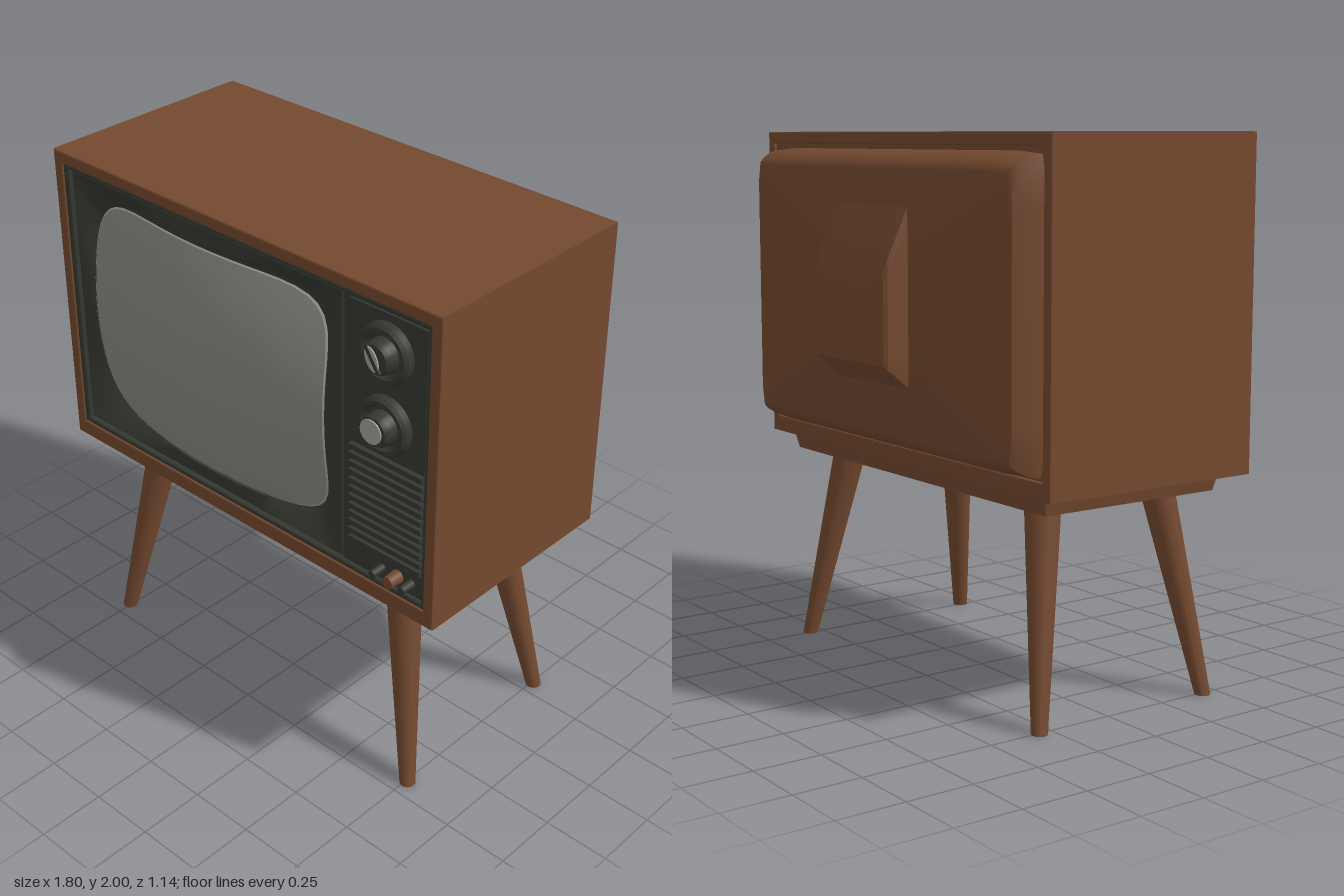
import * as THREE from 'three';
import { toCreasedNormals } from 'three/addons/utils/BufferGeometryUtils.js';

const paint = (name, color) => Object.assign(new THREE.MeshStandardMaterial({ color }), { name });

// Loop of a square bent towards a superellipse of power n (Infinity keeps it square)
function loop(n, side = 16) {
  const pts = [];
  const corners = [[1, -1], [1, 1], [-1, 1], [-1, -1]];
  for (let c = 0; c < 4; c++) {
    const [ax, ay] = corners[c], [bx, by] = corners[(c + 1) % 4];
    for (let i = 0; i < side; i++) {
      const t = i / side, x = ax + (bx - ax) * t, y = ay + (by - ay) * t;
      const k = n === Infinity ? 1 : Math.pow(Math.abs(x) ** n + Math.abs(y) ** n, -1 / n);
      pts.push([x * k, y * k]);
    }
  }
  return pts;
}

// Skin over rings of equal point count, listed from the outside in; optional cap on the last
function skin(rings, { back = false, cap = false, crease = 0.6 } = {}) {
  const n = rings[0].length, pos = rings.flat(2), idx = [];
  const tri = (a, b, c) => (back ? idx.push(a, c, b) : idx.push(a, b, c));
  for (let r = 0; r < rings.length - 1; r++) {
    for (let i = 0; i < n; i++) {
      const j = (i + 1) % n, a = r * n + i, b = r * n + j;
      tri(a, b, b + n);
      tri(a, b + n, a + n);
    }
  }
  if (cap) {
    const last = rings[rings.length - 1], base = (rings.length - 1) * n;
    const mid = [0, 1, 2].map(k => last.reduce((s, p) => s + p[k], 0) / n);
    pos.push(...mid);
    for (let i = 0; i < n; i++) tri(base + i, base + (i + 1) % n, rings.length * n);
  }
  const g = new THREE.BufferGeometry();
  g.setAttribute('position', new THREE.Float32BufferAttribute(pos, 3));
  g.setIndex(idx);
  return toCreasedNormals(g, crease);
}

const rect = (Path, x0, x1, y0, y1) => new Path([[x0, y0], [x1, y0], [x1, y1], [x0, y1]]
  .map(p => new THREE.Vector2(...p)));

// Rectangular frame extruded from z0 to z1
function frame(o, i, z0, z1, bevel) {
  const s = rect(THREE.Shape, ...o);
  s.holes.push(rect(THREE.Path, ...i));
  const g = new THREE.ExtrudeGeometry(s, {
    depth: z1 - z0 - 2 * bevel, bevelSize: bevel, bevelThickness: bevel, bevelOffset: -bevel, bevelSegments: 2,
  });
  return g.translate(0, 0, z0 + bevel);
}

export function createModel() {
  const model = new THREE.Group();
  model.name = 'television';
  const wood = paint('brown wood', 0x74492f);
  const dark = paint('dark trim', 0x353830);
  const glass = paint('grey glass', 0x8b8984);
  const metal = paint('light metal', 0xa3a19b);

  const add = (name, geo, mat, x = 0, y = 0, z = 0, parent = model) => {
    const m = new THREE.Mesh(geo, mat);
    m.name = name;
    m.position.set(x, y, z);
    parent.add(m);
    return m;
  };
  const box = (name, x0, x1, y0, y1, z0, z1, mat) => add(name,
    new THREE.BoxGeometry(x1 - x0, y1 - y0, z1 - z0), mat, (x0 + x1) / 2, (y0 + y1) / 2, (z0 + z1) / 2);

  // Cabinet shell and its rear wall
  add('cabinet', frame([-0.9, 0.9, 0.82, 2], [-0.858, 0.858, 0.882, 1.955], -0.378, 0.505, 0.006), wood);
  box('rearWall', -0.87, 0.87, 0.86, 1.97, -0.365, -0.34, wood);

  // Rounded rear cover and the tube housing on it
  const square = loop(40, 12);
  const ring = (cx, cy, hw, hh, z) => square.map(([u, v]) => [cx + u * hw, cy + v * hh, z]);
  add('rearCover', skin([[0.852, 0.527, -0.36], [0.85, 0.525, -0.385], [0.838, 0.515, -0.42], [0.826, 0.498, -0.45],
    [0.816, 0.48, -0.47], [0.8, 0.462, -0.478]].map(([w, h, z]) => ring(0, 1.412, w, h, z)),
  { back: true, cap: true }), wood);
  add('tubeHousing', skin([ring(0, 1.44, 0.237, 0.325, -0.47), ring(0, 1.38, 0.228, 0.19, -0.555),
    ring(0, 1.365, 0.218, 0.16, -0.568)], { back: true, cap: true, crease: 0.3 }), wood);

  // Dark front: outer lip, backing, sloped screen surround
  add('frontLip', frame([-0.86, 0.86, 0.88, 1.957], [-0.832, 0.842, 0.902, 1.938], 0.44, 0.5, 0.008), dark);
  box('frontBacking', -0.858, 0.858, 0.882, 1.955, 0.34, 0.36, dark);

  const cx = -0.175, cy = 1.42, hw = 0.57, hh = 0.44;
  const bulge = (u, v) => 0.566 - 0.08 * u * u - 0.072 * v * v;
  const oval = loop(6), outer = loop(Infinity);
  const screenRing = (s, lift = 0) => oval.map(([u, v]) =>
    [cx + u * s * hw, cy + v * s * hh, bulge(u * s, v * s) + lift]);
  const surround = [
    outer.map(([u, v]) => [cx + u * 0.67, cy + v * 0.525, 0.47]),
    outer.map(([u, v]) => [cx + u * 0.65, cy + v * 0.51, 0.487]),
    screenRing(1.035, 0.004),
    screenRing(1.0, -0.02),
  ];
  add('screenSurround', skin(surround, { crease: 0.7 }), dark);

  // Bulging screen with a thin bright rim
  const steps = [1.002, 0.9, 0.75, 0.6, 0.45, 0.3, 0.15, 0.04];
  add('screen', skin(steps.map(s => screenRing(s)), { cap: true, crease: 1 }), glass);
  add('screenRim', skin([screenRing(1.006, 0.002), screenRing(0.994, 0.004)], { crease: 1 }), metal);

  // Control panel, stepped around the dials
  box('controlPanel', 0.485, 0.848, 0.895, 1.945, 0.36, 0.484, dark);
  box('dialPlate', 0.515, 0.838, 1.41, 1.925, 0.48, 0.492, dark);

  // Speaker grille slats
  for (let i = 0; i < 12; i++) {
    const y = 1.005 + i * 0.0335;
    box('grilleSlat', 0.52, 0.836, y, y + 0.02, 0.48, 0.503, dark);
  }

  // Two dials: dished ring, knob and a light marker
  const dialProfile = [[0.105, 0], [0.105, 0.03], [0.096, 0.042], [0.082, 0.042], [0.07, 0.024], [0, 0.024]]
    .map(p => new THREE.Vector2(...p));
  const knobProfile = [[0.062, 0], [0.058, 0.06], [0.05, 0.073], [0, 0.073]].map(p => new THREE.Vector2(...p));
  const turned = pts => toCreasedNormals(
    new THREE.LatheGeometry(pts.slice(), 36), 0.5).rotateX(Math.PI / 2);
  for (const [y, name] of [[1.793, 'upperDial'], [1.53, 'lowerDial']]) {
    const dial = new THREE.Group();
    dial.name = name;
    dial.position.set(0.68, y, 0.488);
    model.add(dial);
    add('dialRing', turned(dialProfile), dark, 0, 0, 0, dial).material.side = THREE.DoubleSide;
    add('dialKnob', turned(knobProfile), dark, 0, 0, 0, dial);
    const marker = new THREE.CylinderGeometry(0.044, 0.044, 0.006, 28).rotateX(Math.PI / 2);
    const m = add('dialMarker', marker, metal, -0.008, 0, 0.075, dial);
    if (name === 'upperDial') {
      m.scale.x = 0.55;
      m.rotation.z = 0.45;
      const grip = add('dialGrip', new THREE.BoxGeometry(0.014, 0.1, 0.012), dark, -0.004, 0, 0.074, dial);
      grip.rotation.z = 0.6;
    }
  }

  // Small push buttons under the grille
  for (const [x, r, mat] of [[0.66, 0.016, dark], [0.73, 0.026, wood], [0.79, 0.017, dark]]) {
    add('button', new THREE.CylinderGeometry(r * 0.85, r, 0.06, 20).rotateX(Math.PI / 2), mat, x, 0.948, 0.508);
  }

  // Plinth under the cabinet
  box('plinthNeck', -0.785, 0.785, 0.8, 0.825, -0.3, 0.41, wood);
  const plinth = (w, d, y) => [[w, d], [w, -d], [-w, -d], [-w, d]].map(([x, z]) => [x, y, z + 0.053]);
  add('plinth', skin([plinth(0.78, 0.35, 0.81), plinth(0.812, 0.38, 0.806), plinth(0.8, 0.37, 0.755)],
    { back: true, cap: true, crease: 0.2 }), wood);

  // Splayed tapering legs, sheared so the ends stay level
  for (const sx of [-1, 1]) {
    for (const sz of [-1, 1]) {
      const g = new THREE.CylinderGeometry(0.065, 0.029, 0.77, 24, 1).translate(0, 0.385, 0);
      const p = g.attributes.position;
      for (let i = 0; i < p.count; i++) {
        const t = p.getY(i) / 0.77;
        p.setX(i, p.getX(i) + sx * (0.757 - 0.139 * t));
        p.setZ(i, p.getZ(i) + 0.065 + sz * (0.37 - 0.117 * t));
      }
      g.computeVertexNormals();
      add('leg', toCreasedNormals(g, 0.8), wood);
    }
  }
  return model;
}
